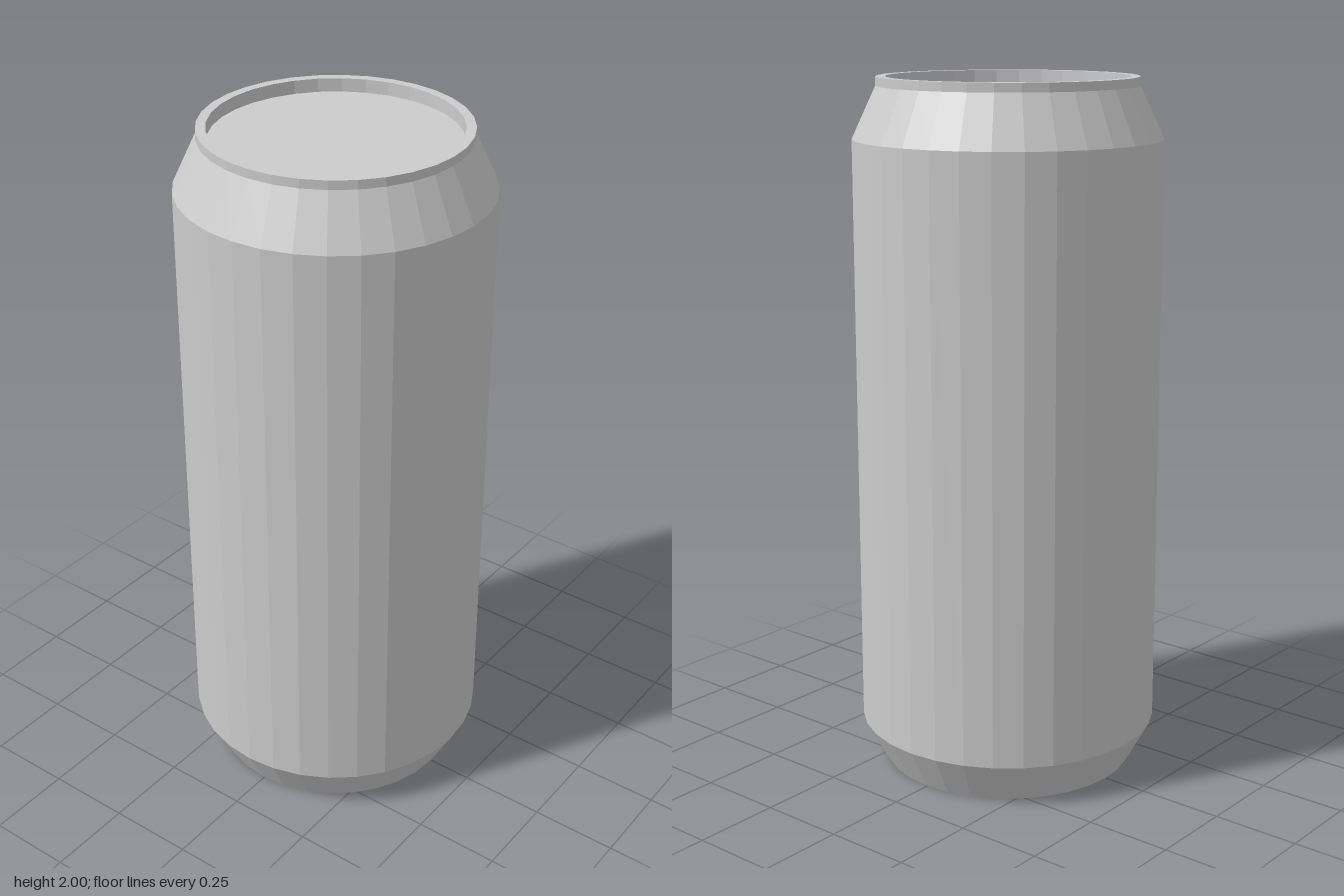
import * as THREE from 'three';

const SIDES = 32;

export function createModel() {
  const can = new THREE.Group();
  can.name = 'can';
  const metal = new THREE.MeshStandardMaterial({ color: 0xcccccc, flatShading: true });
  metal.name = 'metal';

  // Each part is a turned ring, its profile given as [radius, height] from bottom to top
  const turn = (name, profile) => {
    const points = profile.map(([r, y]) => new THREE.Vector2(r, y));
    const mesh = new THREE.Mesh(new THREE.LatheGeometry(points, SIDES), metal);
    mesh.name = name;
    can.add(mesh);
  };

  turn('base', [[0, 0], [0.367, 0], [0.435, 0.125]]);
  turn('body', [[0.435, 0.125], [0.435, 1.83]]);
  turn('shoulder', [[0.435, 1.83], [0.367, 1.975]]);
  // Raised lip, running over the top and down its inner wall
  turn('rim', [[0.367, 1.975], [0.367, 2], [0.34, 2], [0.34, 1.962]]);
  turn('recessedLid', [[0.34, 1.962], [0, 1.962]]);

  return can;
}
